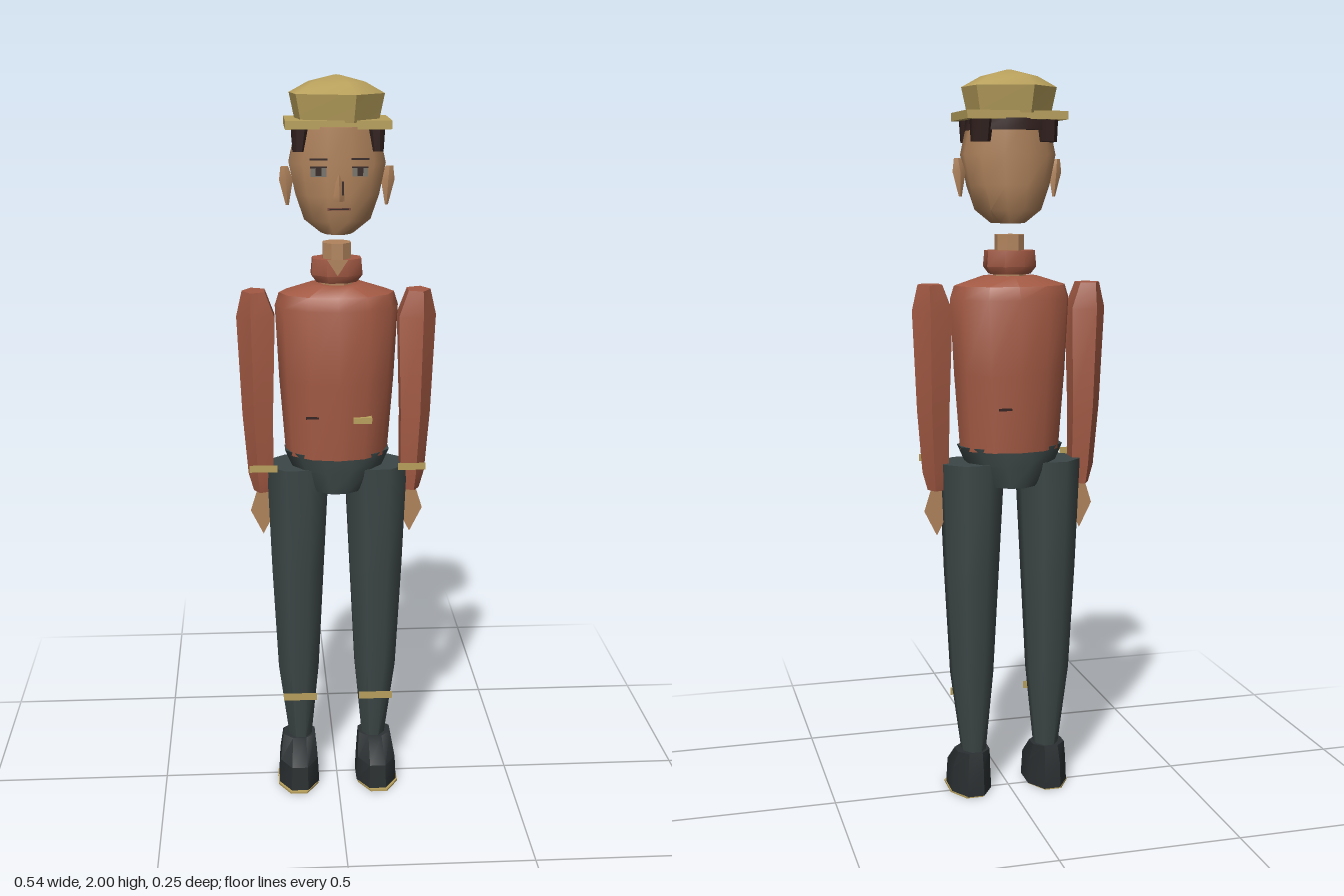
import * as THREE from 'three';
import { toCreasedNormals } from 'three/addons/utils/BufferGeometryUtils.js';

const mat = (name, color, side = THREE.DoubleSide) => {
  const m = new THREE.MeshStandardMaterial({ color, side });
  m.name = name;
  return m;
};

// even angles (degrees) for n sides, starting at the front (+z)
const sides = (n, start = 0) => Array.from({ length: n }, (_, i) => start + (i * 360) / n);

// closed solid through rings [y, cx, cz, rx, rz], listed from bottom to top
function loft(rings, angles, s = 1, crease = 0.75) {
  const a = (s < 0 ? angles.map((d) => -d).reverse() : angles).map((d) => (d * Math.PI) / 180);
  const n = a.length, pos = [], idx = [];
  for (const [y, cx, cz, rx, rz] of rings)
    for (const t of a) pos.push(s * cx + rx * Math.sin(t), y, cz + rz * Math.cos(t));
  for (let r = 0; r < rings.length - 1; r++)
    for (let i = 0; i < n; i++) {
      const j = (i + 1) % n, p = r * n, q = p + n;
      idx.push(p + i, p + j, q + j, p + i, q + j, q + i);
    }
  const top = (rings.length - 1) * n;
  for (let i = 1; i < n - 1; i++) idx.push(0, i + 1, i, top, top + i, top + i + 1);
  const g = new THREE.BufferGeometry();
  g.setAttribute('position', new THREE.Float32BufferAttribute(pos, 3));
  g.setIndex(idx);
  return toCreasedNormals(g, crease);
}

export function createModel() {
  const model = new THREE.Group();
  const skin = mat('skin', 0xb0835c);
  const shirt = mat('rust shirt', 0xa25943);
  const trousers = mat('dark trousers', 0x3c4646);
  const boots = mat('black boots', 0x2b3032);
  const gold = mat('gold trim', 0xb8a05c);
  const hair = mat('dark hair', 0x33221f);
  const eyeGrey = mat('eye grey', 0x77736a);
  const lip = mat('lip', 0x7a4a3c);

  const add = (name, geo, m, x = 0, y = 0, z = 0) => {
    const mesh = new THREE.Mesh(geo, m);
    mesh.name = name;
    mesh.position.set(x, y, z);
    model.add(mesh);
    return mesh;
  };
  const plate = (name, m, w, h, x, y, z) => add(name, new THREE.PlaneGeometry(w, h), m, x, y, z);
  const box = (name, m, w, h, d, x, y, z) => add(name, new THREE.BoxGeometry(w, h, d), m, x, y, z);
  const flat = (points) => new THREE.ShapeGeometry(new THREE.Shape(points.map(([x, y]) => new THREE.Vector2(x, y))));

  // torso and hips
  add('torso', loft([
    [0.99, 0, -0.015, 0.14, 0.105], [1.2, 0, -0.016, 0.156, 0.112], [1.4, 0, -0.016, 0.166, 0.112],
    [1.435, 0, -0.016, 0.155, 0.1], [1.46, 0, -0.012, 0.075, 0.06],
  ], sides(12)), shirt);
  add('hips', loft([
    [0.89, 0, -0.015, 0.076, 0.09], [0.95, 0, -0.015, 0.125, 0.098], [1.0, 0, -0.015, 0.148, 0.1],
  ], sides(12, 15)), trousers);
  box('pocketTrim', gold, 0.05, 0.016, 0.03, 0.065, 1.103, 0.077);
  box('frontSeam', hair, 0.035, 0.006, 0.008, -0.07, 1.11, 0.08);
  box('backSeam', hair, 0.035, 0.006, 0.008, 0.04, 1.11, -0.121);

  // neck and collar, open in a V at the front
  add('neck', loft([
    [1.45, 0, -0.01, 0.045, 0.045], [1.52, 0, -0.01, 0.04, 0.042], [1.57, 0, -0.01, 0.04, 0.04],
  ], sides(8, 22.5)), skin);
  add('collar', loft([
    [1.465, 0, -0.014, 0.058, 0.05], [1.485, 0, -0.014, 0.074, 0.06], [1.528, 0, -0.014, 0.07, 0.056],
  ], sides(8, 22.5)), shirt);
  add('collarOpening', flat([[0, 1.487], [0.028, 1.53], [-0.028, 1.53]]), skin, 0, 0, 0.043);

  // head
  add('head', loft([
    [1.6, 0, 0.005, 0.045, 0.07], [1.635, 0, 0.003, 0.09, 0.088], [1.7, 0, 0.003, 0.113, 0.094],
    [1.78, 0, 0.003, 0.13, 0.096], [1.875, 0, 0.003, 0.108, 0.094],
  ], sides(12, 15), 1, 0.9), skin);
  add('nose', loft([
    [1.69, 0, 0.1, 0.014, 0.014], [1.705, 0, 0.1, 0.014, 0.017], [1.755, 0, 0.092, 0.005, 0.006],
  ], sides(4)), skin);
  plate('noseLine', hair, 0.006, 0.035, 0.009, 1.725, 0.115);
  plate('mouth', lip, 0.06, 0.007, 0, 1.672, 0.113);
  plate('mouthLine', hair, 0.05, 0.003, 0, 1.672, 0.114);

  // hair band under the cap
  add('hairBand', loft([
    [1.842, 0, -0.012, 0.122, 0.092], [1.872, 0, -0.012, 0.118, 0.092],
  ], sides(12, 15)), hair);
  add('forehead', loft([
    [1.835, 0, 0.05, 0.07, 0.046], [1.868, 0, 0.05, 0.07, 0.045],
  ], sides(8, 22.5)), skin);

  // cap
  box('capBrim', gold, 0.272, 0.022, 0.184, 0, 1.88, -0.008);
  add('capCrown', loft([
    [1.885, 0, -0.008, 0.112, 0.105], [1.955, 0, -0.008, 0.127, 0.122],
    [1.983, 0, -0.008, 0.075, 0.085], [2.0, 0, -0.008, 0.006, 0.006],
  ], [20, 74, 124, 197, 255, 302], 1, 0.9), gold);

  for (const s of [1, -1]) {
    const side = s > 0 ? 'left' : 'right';

    // face details and ears
    plate(side + 'Eye', eyeGrey, 0.04, 0.024, s * 0.053, 1.766, 0.112);
    plate(side + 'Pupil', hair, 0.015, 0.02, s * 0.053, 1.766, 0.114);
    plate(side + 'EyeLid', hair, 0.042, 0.004, s * 0.053, 1.778, 0.115);
    plate(side + 'Brow', hair, 0.045, 0.005, s * 0.053, 1.798, 0.115);
    add(side + 'Ear', loft([
      [1.67, 0.13, 0.008, 0.004, 0.004], [1.735, 0.133, 0.008, 0.018, 0.014], [1.77, 0.137, 0.008, 0.01, 0.006],
    ], sides(4), s), skin);

    // locks of hair before and behind the ear
    add(side + 'FrontLock', loft([
      [1.812, 0.1, 0.052, 0.018, 0.022], [1.87, 0.096, 0.052, 0.026, 0.028],
    ], sides(8, 22.5), s), hair);
    add(side + 'BackLock', loft([
      [1.812, 0.09, -0.058, 0.026, 0.036], [1.87, 0.088, -0.058, 0.03, 0.044],
    ], sides(8, 22.5), s), hair);

    // arm, cuff and flat hand
    add(side + 'Arm', loft([
      [0.88, 0.206, -0.008, 0.024, 0.03], [0.93, 0.206, -0.008, 0.038, 0.037], [1.1, 0.212, -0.012, 0.046, 0.048],
      [1.37, 0.213, -0.016, 0.057, 0.058], [1.44, 0.22, -0.016, 0.034, 0.045],
    ], sides(5, 18), s, 0.9), shirt);
    plate(side + 'Cuff', gold, 0.076, 0.02, s * 0.203, 0.96, 0.052);
    add(side + 'Hand', flat([[0.205, 0.75], [0.24, 0.82], [0.218, 0.89], [0.19, 0.89], [0.17, 0.82]]
      .map(([x, y]) => [s * x, y])), skin, 0, 0, -0.008);

    // leg and shin band
    add(side + 'Leg', loft([
      [0.12, 0.106, -0.014, 0.034, 0.044], [0.35, 0.11, -0.012, 0.062, 0.056],
      [0.65, 0.11, -0.014, 0.078, 0.07], [0.955, 0.108, -0.015, 0.092, 0.083],
    ], sides(8, 22.5), s, 0.9), trousers);
    plate(side + 'ShinBand', gold, 0.095, 0.022, s * 0.108, 0.274, 0.058);

    // boot with a thin sole edge
    add(side + 'Boot', loft([
      [0.004, 0.112, 0.022, 0.062, 0.1], [0.075, 0.112, 0.02, 0.058, 0.098], [0.128, 0.11, -0.015, 0.05, 0.05],
    ], sides(8, 22.5), s, 0.6), boots);
    add(side + 'Sole', loft([
      [0, 0.115, 0.028, 0.062, 0.104], [0.005, 0.115, 0.028, 0.062, 0.104],
    ], sides(8, 22.5), s), gold);
  }
  return model;
}
